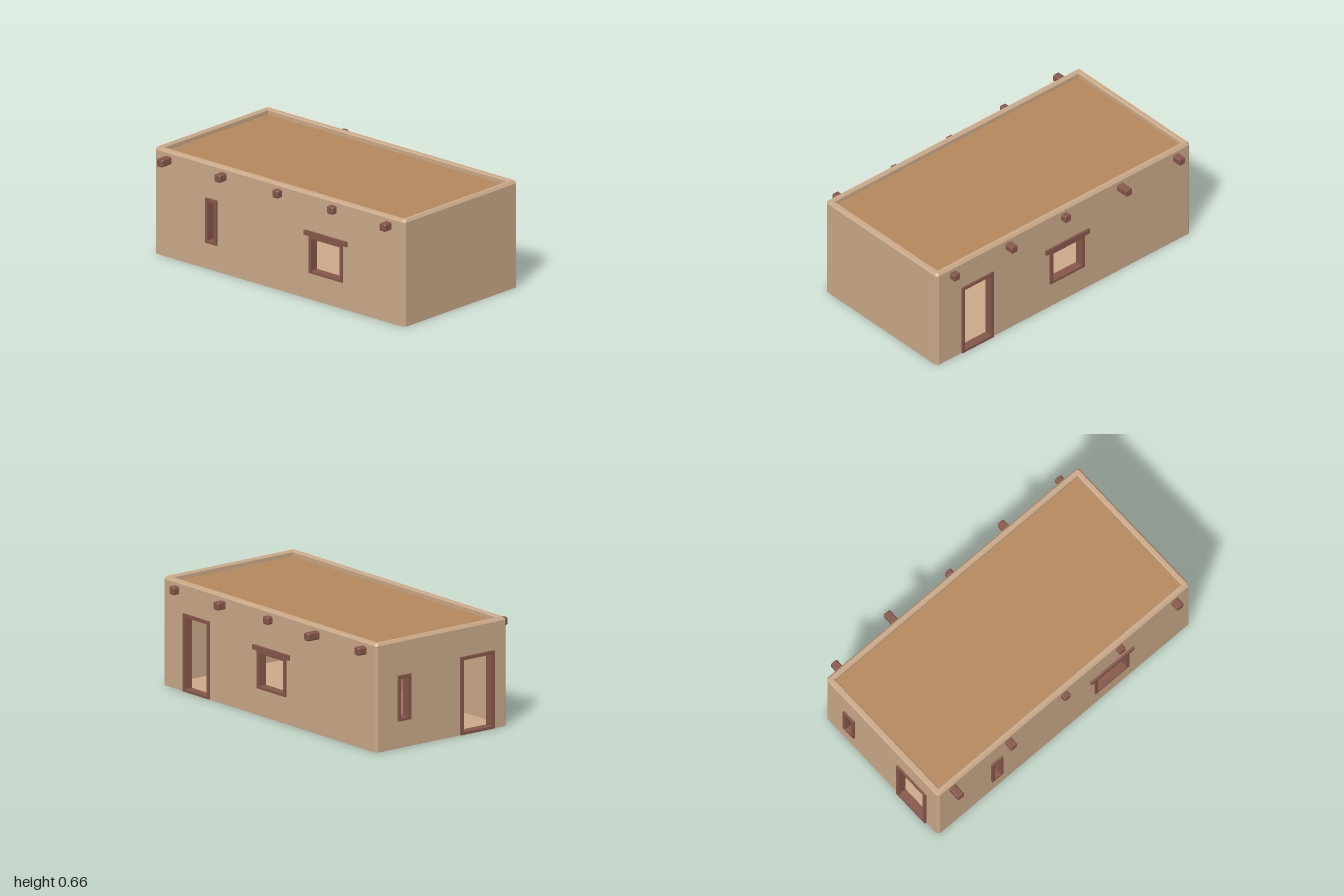
import * as THREE from 'three';

const mat = (color) => new THREE.MeshStandardMaterial({ color, flatShading: true, side: THREE.DoubleSide });
const plaster = mat(0xc9a888), earth = mat(0xb4875c), wood = mat(0x85564a);

// Body: half sizes, centre, height, chamfer, wall thickness, roof level
const HX = 0.494, HZ = 0.993, CX = -0.0025, CZ = 0.005, H = 0.66, C = 0.015, T = 0.04, ROOF = 0.628;
const FRAME = 0.02;

function add(parent, name, geometry, material, x = 0, y = 0, z = 0) {
  const m = new THREE.Mesh(geometry, material);
  m.name = name;
  m.position.set(x, y, z);
  parent.add(m);
  return m;
}

function rect(Type, x0, x1, y0, y1) {
  const pts = [[x0, y0], [x1, y0], [x1, y1], [x0, y1]].map(([x, y]) => new THREE.Vector2(x, y));
  return new Type(pts);
}

const extrude = (shape, depth) => new THREE.ExtrudeGeometry(shape, { depth, bevelEnabled: false });

// Eight-cornered horizontal loop, inset from the walls, with cut corners
function loop(inset, y, cut) {
  const x = HX - inset, z = HZ - inset;
  return [[x, -z + cut], [x, z - cut], [x - cut, z], [-x + cut, z],
    [-x, z - cut], [-x, -z + cut], [-x + cut, -z], [x - cut, -z]].map(([px, pz]) => [px, y, pz]);
}

function loft(loops) {
  const pos = [];
  for (let i = 0; i < loops.length - 1; i++) {
    for (let j = 0; j < 8; j++) {
      const k = (j + 1) % 8, a = loops[i], b = loops[i + 1];
      pos.push(...a[j], ...b[j], ...a[k], ...a[k], ...b[j], ...b[k]);
    }
  }
  const g = new THREE.BufferGeometry();
  g.setAttribute('position', new THREE.Float32BufferAttribute(pos, 3));
  g.computeVertexNormals();
  return g;
}

// One wall facing local +z, with framed openings { name, a, b, y0, y1, out, lintel }
function wall(name, half, openings) {
  const g = new THREE.Group();
  g.name = name;
  const shape = rect(THREE.Shape, -half + C, half - C, 0, H - C);
  for (const o of openings) {
    const e = FRAME / 2;
    shape.holes.push(rect(THREE.Path, o.a + e, o.b - e, o.y0 + e, o.y1 - e));
    const border = rect(THREE.Shape, o.a, o.b, o.y0, o.y1);
    border.holes.push(rect(THREE.Path, o.a + FRAME, o.b - FRAME, o.y0 + FRAME * 0.8, o.y1 - FRAME));
    add(g, o.name + 'Frame', extrude(border, T + 0.005 + o.out), wood, 0, 0, -T - 0.005);
    if (o.lintel) {
      const width = o.b - o.a + 0.07;
      add(g, o.name + 'Lintel', new THREE.BoxGeometry(width, 0.03, T + 0.014), wood, (o.a + o.b) / 2, 0.41, 0.014 - T / 2 - 0.007);
    }
  }
  add(g, name + 'Panel', extrude(shape, T), plaster, 0, 0, -T);
  return g;
}

const door = (a, b, out) => ({ name: 'door', a, b, y0: 0.002, y1: 0.475, out });
const slit = (a, b, out) => ({ name: 'slitWindow', a, b, y0: 0.165, y1: 0.442, out });
const window_ = (a, b) => ({ name: 'window', a, b, y0: 0.165, y1: 0.4, out: 0.009, lintel: true });

export function createModel() {
  const model = new THREE.Group();
  model.name = 'adobeHouse';
  const body = new THREE.Group();
  body.name = 'body';
  body.position.set(CX, 0, CZ);
  model.add(body);

  // Four walls, each turned to face outwards
  const walls = [
    [wall('frontWall', HX, []), 0, HZ, 0],
    [wall('backWall', HX, [door(0.138, 0.392, 0.012), slit(-0.331, -0.238, 0.012)]), 0, -HZ, Math.PI],
    [wall('leftWall', HZ, [door(-0.8, -0.553, 0.01), window_(-0.11, 0.157)]), HX, 0, Math.PI / 2],
    [wall('rightWall', HZ, [slit(-0.577, -0.489, 0.015), window_(0.24, 0.507)]), -HX, 0, -Math.PI / 2],
  ];
  for (const [w, x, z, turn] of walls) {
    w.position.set(x, 0, z);
    w.rotation.y = turn;
    body.add(w);
  }

  // Chamfered corner posts
  for (const sx of [-1, 1]) {
    for (const sz of [-1, 1]) {
      const pts = [[HX - C, HZ], [HX, HZ - C], [HX - T, HZ - T]];
      if (sx * sz < 0) pts.reverse();
      const s = new THREE.Shape(pts.map(([x, z]) => new THREE.Vector2(sx * x, -sz * z)));
      add(body, 'cornerPost', extrude(s, H - C), plaster).rotation.x = -Math.PI / 2;
    }
  }

  // Parapet coping with bevelled edges, running down to the roof
  add(body, 'parapet', loft([
    loop(0, H - C, C), loop(C * 0.8, H, C * 0.5), loop(T - 0.008, H, 0),
    loop(T, H - 0.008, 0), loop(T, ROOF - 0.01, 0),
  ]), plaster);

  // Roof and floor slabs
  const w = 2 * (HX - T) + 0.002, d = 2 * (HZ - T) + 0.002;
  add(body, 'roof', new THREE.BoxGeometry(w, 0.03, d), earth, 0, ROOF - 0.015, 0);
  add(body, 'floor', new THREE.BoxGeometry(w, 0.012, d), plaster, 0, 0.006, 0);

  // Roof beams that pass through both side walls: z, right end, left end
  const beams = [[-0.875, -0.575, 0.548], [-0.437, -0.553, 0.572], [0.002, -0.532, 0.528],
    [0.437, -0.532, 0.548], [0.872, -0.553, 0.53]];
  const r = 0.0235, k = 0.018, b = 0.004;
  const profile = new THREE.Shape([[r, -k], [r, k], [k, r], [-k, r], [-r, k], [-r, -k], [-k, -r], [k, -r]]
    .map(([x, y]) => new THREE.Vector2(x * (1 - b / r), y * (1 - b / r))));
  for (const [z, x0, x1] of beams) {
    const g = new THREE.ExtrudeGeometry(profile, {
      depth: x1 - x0 - 2 * b, bevelThickness: b, bevelSize: b, bevelSegments: 1,
    });
    add(model, 'roofBeam', g, wood, x0 + b, 0.603, z).rotation.y = Math.PI / 2;
  }
  return model;
}
